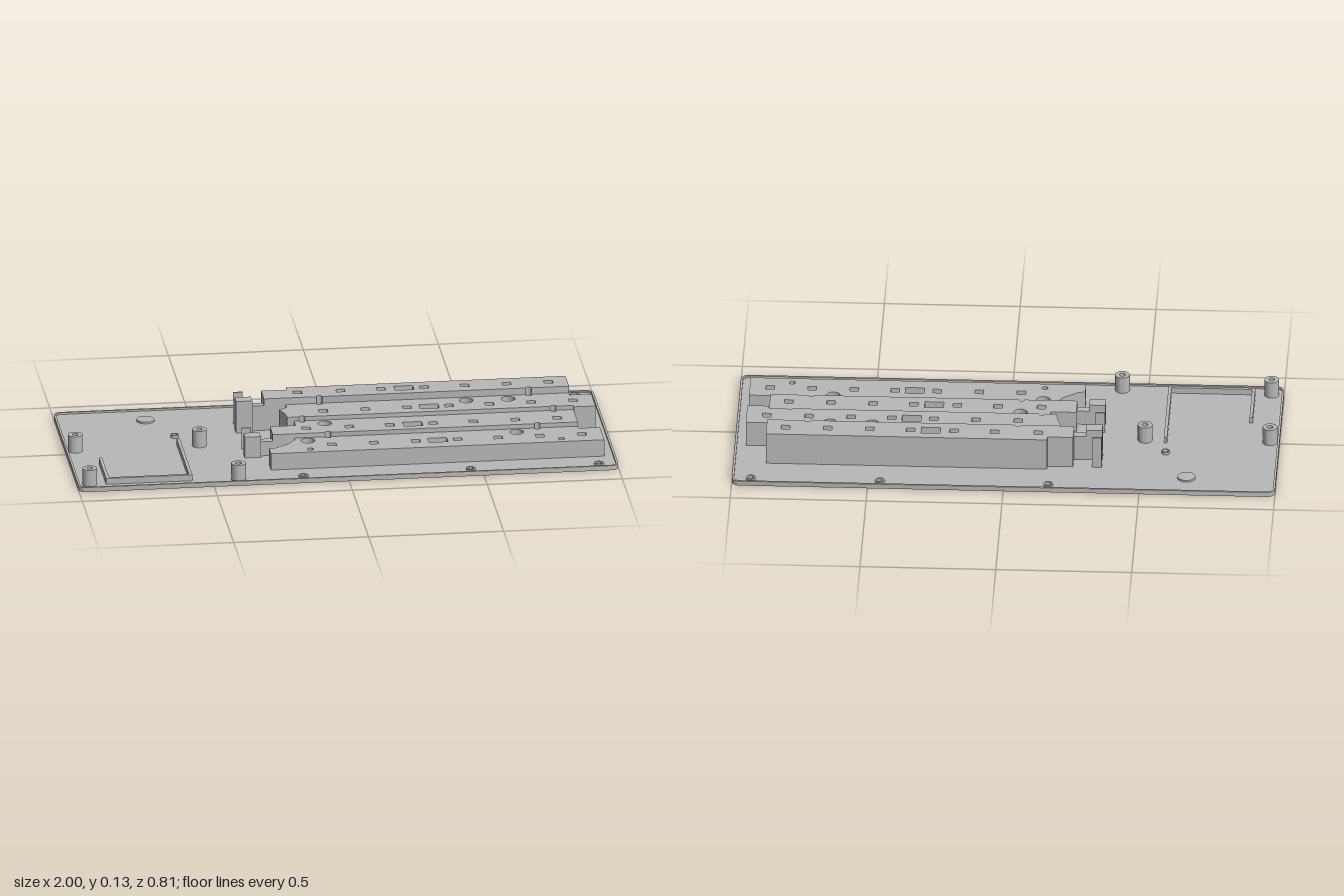
import * as THREE from 'three';
import { toCreasedNormals } from 'three/addons/utils/BufferGeometryUtils.js';

const FLOOR = 0.011, RIM = 0.018;

// Plan coordinates are (x, z); the shape's y axis is -z
function polygon(points) {
  return new THREE.Shape(points.map(([x, z]) => new THREE.Vector2(x, -z)));
}
function circle(x, z, r) {
  const p = new THREE.Shape();
  p.absarc(x, -z, r, 0, Math.PI * 2);
  return p;
}
function rect(x, z, w, d) {
  const a = w / 2, b = d / 2;
  return polygon([[x - a, z - b], [x - a, z + b], [x + a, z + b], [x + a, z - b]]);
}
function roundedRect(a, b, r) {
  const s = new THREE.Shape();
  s.absarc(a - r, b - r, r, 0, Math.PI / 2);
  s.absarc(-a + r, b - r, r, Math.PI / 2, Math.PI);
  s.absarc(-a + r, -b + r, r, Math.PI, Math.PI * 1.5);
  s.absarc(a - r, -b + r, r, Math.PI * 1.5, Math.PI * 2);
  s.closePath();
  return s;
}
// Half-round bites in an edge running along x at z; dir +1 bites towards +z, -1 towards -z
function bites(xs, z, dir, r = 0.011) {
  const pts = [];
  for (const x of xs) {
    for (let i = 0; i <= 8; i++) {
      const t = Math.PI * i / 8;
      pts.push([x - r * Math.cos(t), z + dir * r * Math.sin(t)]);
    }
  }
  return pts;
}

export function createModel() {
  const model = new THREE.Group();
  model.name = 'keyboardTray';
  const grey = new THREE.MeshStandardMaterial({ color: 0xb8b8b8 });
  grey.name = 'plainGrey';

  function prism(name, shape, holes, y0, y1) {
    shape.holes.push(...holes);
    let geo = new THREE.ExtrudeGeometry(shape, { depth: y1 - y0, bevelEnabled: false, curveSegments: 20 });
    geo.rotateX(-Math.PI / 2);
    geo.translate(0, y0, 0);
    geo = toCreasedNormals(geo, 0.6);
    const mesh = new THREE.Mesh(geo, grey);
    mesh.name = name;
    model.add(mesh);
  }
  const box = (name, x0, x1, z0, z1, y1) =>
    prism(name, rect((x0 + x1) / 2, (z0 + z1) / 2, x1 - x0, z1 - z0), [], FLOOR, y1);

  const standoffs = [[-0.965, -0.008], [-0.955, 0.353], [-0.405, 0.365], [-0.505, -0.01]];
  const rimScrews = [-0.165, 0.455, 0.93].flatMap(x => [[x, -0.37], [x, 0.365]]);
  const sunkPosts = [[0.495, -0.105], [0.65, -0.105], [-0.045, 0.03], [-0.123, 0.16], [0.65, 0.16]];
  const edgeA = [-0.045, 0.73], edgeB = [-0.125, 0.805];
  const smallHoles = [[-0.585, -0.108],
    ...edgeA.flatMap(x => [[x, -0.14], [x, 0.128]]),
    ...edgeB.flatMap(x => [[x, -0.005], [x, 0.25]])];

  // Base plate with through holes and a thin raised rim
  const through = [...standoffs, ...rimScrews, ...sunkPosts, ...smallHoles];
  prism('basePlate', roundedRect(1, 0.404, 0.03), through.map(([x, z]) => circle(x, z, 0.011)), 0, FLOOR);
  prism('rim', roundedRect(1, 0.404, 0.03), [roundedRect(0.992, 0.396, 0.022)], FLOOR, RIM);

  // Screw posts
  const tube = (name, x, z, r, top) => prism(name, circle(x, z, r), [circle(x, z, 0.011)], FLOOR, top);
  standoffs.forEach(([x, z]) => tube('standoff', x, z, 0.027, 0.075));
  rimScrews.forEach(([x, z]) => tube('rimBoss', x, z, 0.018, RIM));
  sunkPosts.forEach(([x, z]) => tube('sunkPost', x, z, 0.025, 0.05));
  tube('smallBoss', -0.585, -0.108, 0.015, 0.022);
  prism('roundPad', circle(-0.67, -0.292, 0.033), [], FLOOR, RIM);

  // Key rows, front to back: outlines run round from the back left corner
  const keysA = [-0.12, 0.04, 0.19, 0.35, 0.5, 0.655, 0.81];
  const keysB = [-0.04, 0.115, 0.27, 0.425, 0.575, 0.73, 0.885];
  const rows = [
    { z: 0.21, top: 0.075, keys: keysB, wide: 0.352, outline: [
      [-0.17, 0.128], ...bites(edgeA, 0.128, 1), [0.88, 0.128], [0.88, 0.148], [0.96, 0.148], [0.96, 0.282],
      [-0.275, 0.282], [-0.275, 0.228], [-0.25, 0.222], [-0.2, 0.185], [-0.17, 0.145]] },
    { z: 0.075, top: 0.092, keys: keysA, wide: 0.275, outline: [
      [-0.155, -0.005], ...bites(edgeB, -0.005, 1), [0.88, -0.005], [0.88, 0.128],
      ...bites(edgeA, 0.128, -1).reverse(), [-0.17, 0.128], [-0.25, 0.128], [-0.25, 0.04], [-0.155, 0.04]] },
    { z: -0.06, top: 0.108, keys: keysB, wide: 0.352, outline: [
      [-0.17, -0.14], ...bites(edgeA, -0.14, 1), [0.88, -0.14], [0.88, -0.118], [0.96, -0.118], [0.96, 0.01],
      [0.88, 0.01], [0.88, -0.005], ...bites(edgeB, -0.005, -1).reverse(), [-0.18, -0.005],
      [-0.185, -0.05], [-0.2, -0.09], [-0.17, -0.11]] },
    { z: -0.195, top: 0.134, keys: keysA, wide: 0.275, outline: [
      [-0.155, -0.25], [0.88, -0.25], [0.88, -0.14], ...bites(edgeA, -0.14, -1).reverse(),
      [-0.17, -0.14], [-0.25, -0.14], [-0.25, -0.227], [-0.155, -0.227]] },
  ];
  rows.forEach((row, i) => {
    const holes = row.keys.map(x => rect(x, row.z, 0.032, 0.027));
    holes.push(rect(row.wide, row.z, 0.07, 0.043));
    const back = Math.min(...row.outline.map(p => p[1]));
    const front = Math.max(...row.outline.map(p => p[1]));
    sunkPosts.filter(([, z]) => z - 0.025 > back && z + 0.025 < front)
      .forEach(([x, z]) => holes.push(circle(x, z, 0.0255)));
    if (i === 0) edgeB.forEach(x => holes.push(circle(x, 0.25, 0.011)));
    prism('keyRow', polygon(row.outline), holes, FLOOR, row.top);
  });

  // Brackets at the left ends of the second and fourth rows
  for (const [dz, top] of [[0, 0.092], [-0.267, 0.134]]) {
    box('bracketBlock', -0.355, -0.295, 0.097, 0.143, top);
    box('bracketLink', -0.295, -0.25, 0.097, 0.128, top - 0.026);
    box('bracketFin', -0.355, -0.32, 0.04, 0.047, top);
    model.children.slice(-3).forEach(m => { m.position.z = dz; });
  }

  // Low fence round the front corner bay
  prism('bayFence', polygon([[-0.895, 0.135], [-0.883, 0.135], [-0.883, 0.348], [-0.587, 0.348],
    [-0.587, -0.03], [-0.575, -0.03], [-0.575, 0.36], [-0.895, 0.36]]), [], FLOOR, 0.034);

  return model;
}
